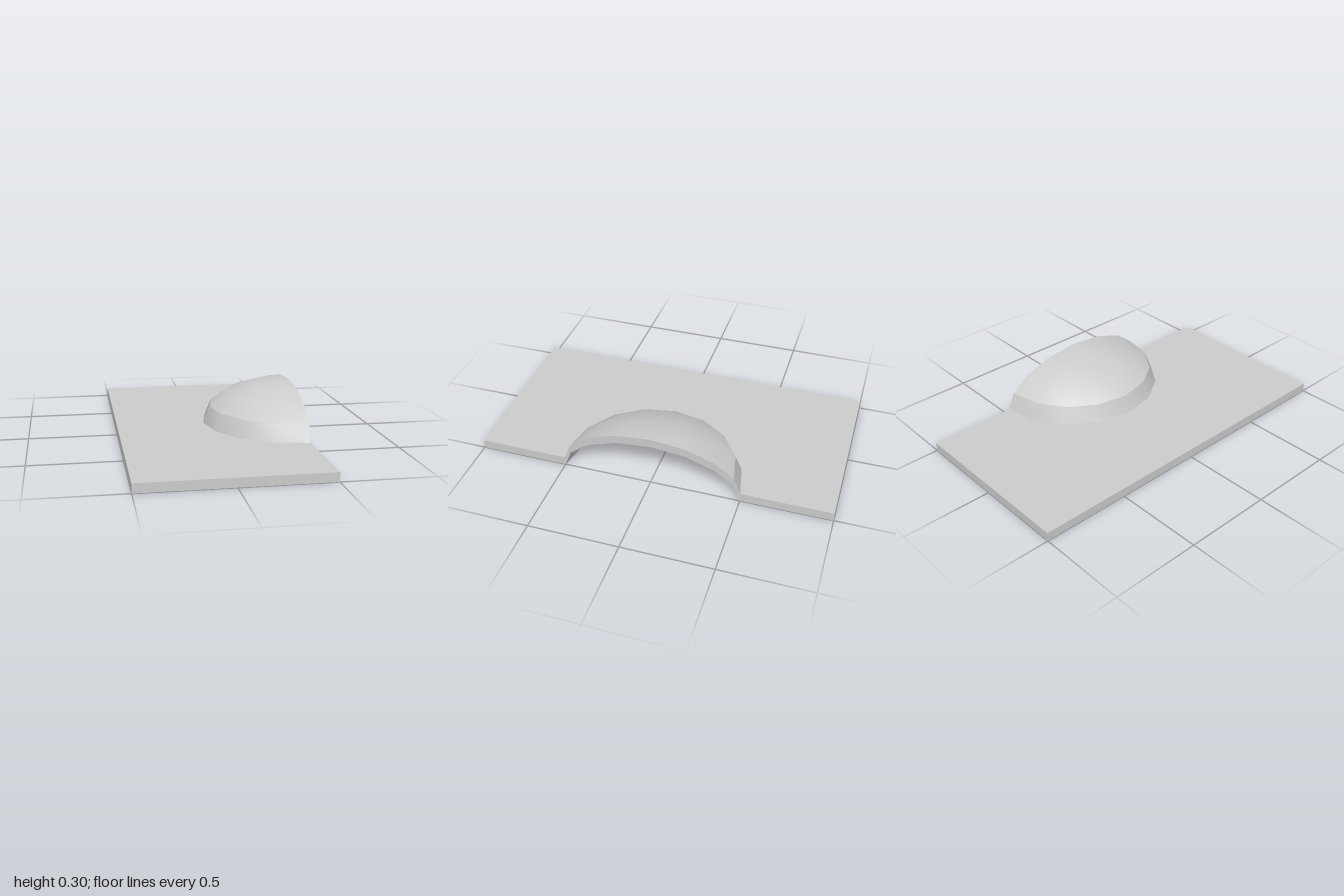
import * as THREE from 'three';
import { toCreasedNormals } from 'three/addons/utils/BufferGeometryUtils.js';

const HALF_X = 0.5, HALF_Z = 1, THICK = 0.05;
const RADIUS = 0.5, RISE = 0.25, SEGMENTS = 8;

export function createModel() {
  const group = new THREE.Group();
  const material = new THREE.MeshStandardMaterial({ color: 0xcccccc });

  function add(name, geometry, x = 0, y = 0, z = 0) {
    const mesh = new THREE.Mesh(geometry, material);
    mesh.name = name;
    mesh.position.set(x, y, z);
    group.add(mesh);
  }

  // Quarter-ellipse dome profile, from rim to crown
  const profile = [];
  for (let i = 0; i <= 4; i++) {
    const a = (i * Math.PI) / 8;
    profile.push(new THREE.Vector2(i === 4 ? 0 : RADIUS * Math.cos(a), RISE * Math.sin(a)));
  }

  // Half dome: outer skin, and the same skin one thickness lower facing inward
  const dome = (points) =>
    toCreasedNormals(new THREE.LatheGeometry(points, SEGMENTS, Math.PI, Math.PI), Math.PI / 6);
  add('domeOuter', dome(profile), HALF_X, THICK, 0);
  add('domeInner', dome([...profile].reverse()), HALF_X, 0, 0);

  // Plate outline with a half-round notch under the dome
  const plan = [
    new THREE.Vector2(HALF_X, HALF_Z),
    new THREE.Vector2(-HALF_X, HALF_Z),
    new THREE.Vector2(-HALF_X, -HALF_Z),
    new THREE.Vector2(HALF_X, -HALF_Z),
  ];
  for (let i = 0; i <= SEGMENTS; i++) {
    const a = (i * Math.PI) / SEGMENTS;
    plan.push(new THREE.Vector2(HALF_X - RADIUS * Math.sin(a), -RADIUS * Math.cos(a)));
  }
  const plate = () => new THREE.ShapeGeometry(new THREE.Shape(plan));
  add('plateTop', plate().rotateX(-Math.PI / 2), 0, THICK, 0);
  add('plateBottom', plate().rotateX(Math.PI / 2));

  // Outer walls of the plate
  for (const s of [1, -1]) {
    const wall = new THREE.PlaneGeometry(2 * HALF_X, THICK);
    if (s < 0) wall.rotateY(Math.PI);
    add(s > 0 ? 'frontEdge' : 'backEdge', wall, 0, THICK / 2, s * HALF_Z);
  }
  add('rightEdge', new THREE.PlaneGeometry(2 * HALF_Z, THICK).rotateY(-Math.PI / 2), -HALF_X, THICK / 2, 0);

  // Cut face: plate and dome in section, a band of constant height
  const arch = [
    new THREE.Vector2(-HALF_Z, 0),
    ...profile.map((p) => new THREE.Vector2(-p.x, p.y)),
    ...profile.slice(0, -1).reverse(),
    new THREE.Vector2(HALF_Z, 0),
  ];
  const raised = arch.map((p) => new THREE.Vector2(p.x, p.y + THICK)).reverse();
  const section = new THREE.Shape([...arch, ...raised]);
  add('cutFace', new THREE.ShapeGeometry(section).rotateY(Math.PI / 2), HALF_X, 0, 0);

  return group;
}
